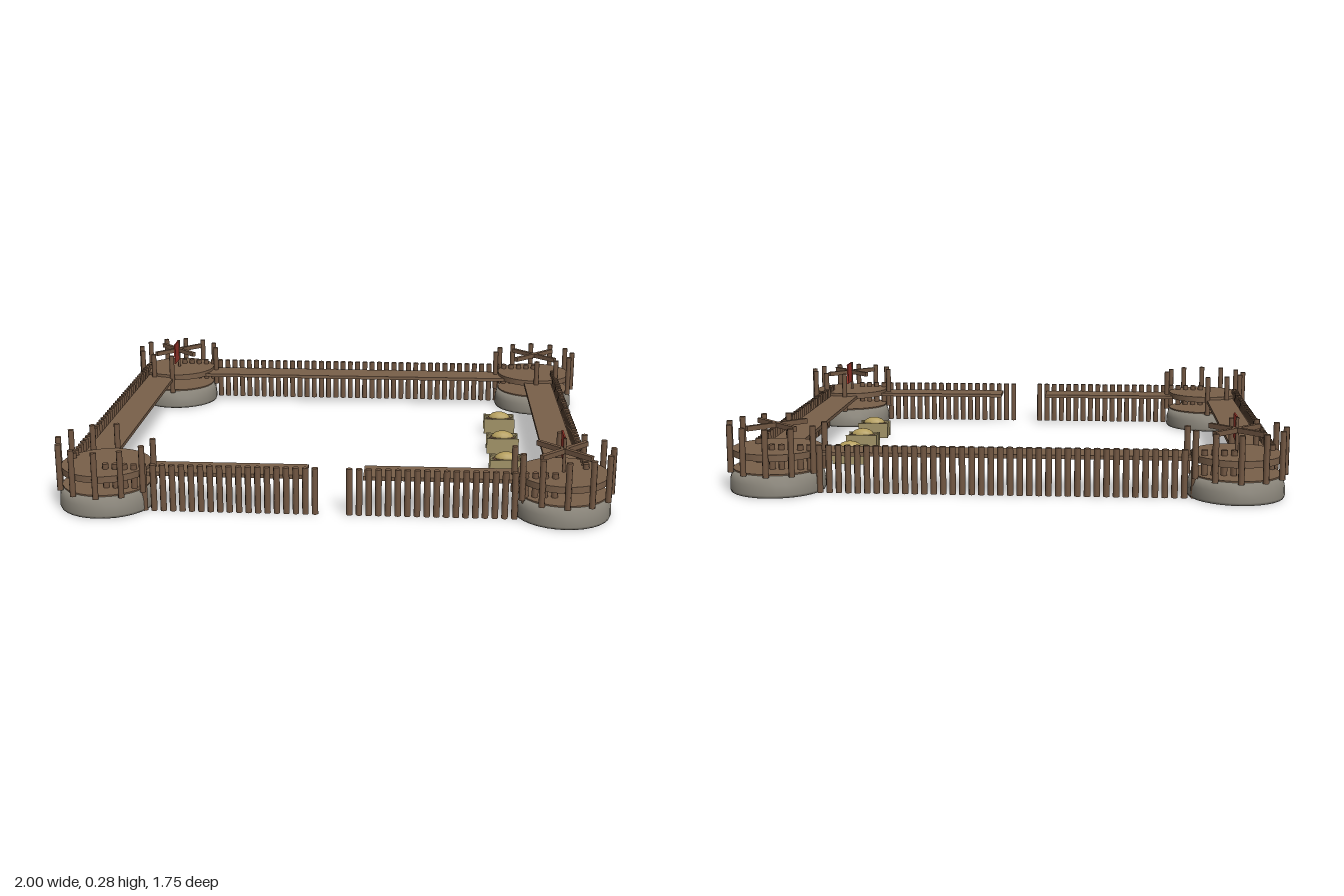
import * as THREE from 'three';

const mat = (name, color) => {
  const m = new THREE.MeshStandardMaterial({ color });
  m.name = name;
  return m;
};

export function createModel() {
  const fort = new THREE.Group();
  fort.name = 'palisadeFort';

  const stone = mat('grey stone', 0x8c877c);
  const plank = mat('plank brown', 0x7a604a);
  const log = mat('log brown', 0x735843);
  const cloth = mat('red cloth', 0xa5382c);
  const crateWood = mat('pale crate wood', 0xa39468);
  const straw = mat('straw', 0xb39d5c);

  const add = (parent, name, geometry, material, x = 0, y = 0, z = 0) => {
    const mesh = new THREE.Mesh(geometry, material);
    mesh.name = name;
    mesh.position.set(x, y, z);
    parent.add(mesh);
    return mesh;
  };
  const box = (w, h, d) => new THREE.BoxGeometry(w, h, d);

  // Corner towers
  const TX = 0.817, TZ = 0.69, RING = 0.172;
  const baseGeo = new THREE.LatheGeometry(
    [[0, 0], [0.168, 0], [0.172, 0.01], [0.17, 0.045], [0.16, 0.078], [0, 0.078]]
      .map(([r, y]) => new THREE.Vector2(r, y)), 32);
  const floorGeo = new THREE.CylinderGeometry(0.158, 0.158, 0.006, 32);
  const deckGeo = new THREE.CylinderGeometry(0.16, 0.16, 0.024, 32);
  const postGeo = new THREE.CylinderGeometry(0.011, 0.011, 0.17, 8);

  const buildTower = (name, sx, sz, braced, flagDir) => {
    const tower = new THREE.Group();
    tower.name = name;
    tower.position.set(sx * TX, 0, sz * TZ);
    add(tower, 'stoneBase', baseGeo, stone);
    add(tower, 'towerFloor', floorGeo, plank, 0, 0.08, 0);
    add(tower, 'towerDeck', deckGeo, plank, 0, 0.141, 0);
    // Ring of posts, open on the two inward diagonals
    for (let i = 0; i < 12; i++) {
      const a = (i * Math.PI) / 6;
      const x = Math.cos(a) * RING, z = Math.sin(a) * RING;
      if (x * sx < -0.05 && z * sz < -0.05) continue;
      add(tower, 'ringPost', postGeo, log, x, 0.16, z);
    }
    // Crossed beams
    if (braced) {
      for (const s of [-1, 1]) {
        add(tower, 'crossBeam', box(0.245, 0.018, 0.016), log, 0, 0.232, 0)
          .rotation.y = (s * Math.PI) / 4;
      }
    }
    // Pole and flag
    if (flagDir) {
      add(tower, 'flagPole', new THREE.CylinderGeometry(0.006, 0.006, 0.126, 8), log, 0, 0.214, 0);
      add(tower, 'flag', box(0.006, 0.088, 0.085), cloth, 0, 0.233, flagDir * 0.055);
    }
    fort.add(tower);
  };
  buildTower('backRightTower', -1, -1, true, 1);
  buildTower('backLeftTower', 1, -1, true, 0);
  buildTower('frontRightTower', -1, 1, false, 0);
  buildTower('frontLeftTower', 1, 1, true, -1);

  // Palisade rows of upright logs
  const logGeo = new THREE.CylinderGeometry(0.0115, 0.0115, 0.172, 8);
  const palisade = (name, x0, z0, x1, z1) => {
    const row = new THREE.Group();
    row.name = name;
    const n = Math.round(Math.hypot(x1 - x0, z1 - z0) / 0.0338);
    for (let i = 0; i <= n; i++) {
      const t = i / n;
      add(row, 'palisadeLog', logGeo, log, x0 + (x1 - x0) * t, 0.086, z0 + (z1 - z0) * t);
    }
    fort.add(row);
  };
  palisade('backPalisade', -0.803, -0.75, 0.822, -0.75);
  palisade('rightPalisade', -0.948, -0.64, -0.948, 0.65);
  palisade('leftPalisade', 0.9, -0.64, 0.9, 0.65);
  palisade('frontRightPalisade', -0.803, 0.76, -0.057, 0.76);
  palisade('frontLeftPalisade', 0.065, 0.76, 0.782, 0.76);

  // Wall walkways
  const walkway = (name, x0, x1, z0, z1) =>
    add(fort, name, box(x1 - x0, 0.014, z1 - z0), plank, (x0 + x1) / 2, 0.134, (z0 + z1) / 2);
  walkway('backWalkway', -0.8, 0.8, -0.727, -0.608);
  walkway('rightWalkway', -0.934, -0.815, -0.66, 0.66);
  walkway('leftWalkway', 0.766, 0.884, -0.66, 0.66);
  walkway('frontRightWalkway', -0.8, -0.09, 0.633, 0.753);
  walkway('frontLeftWalkway', 0.113, 0.8, 0.633, 0.753);

  // Straw-filled crates
  const heap = new THREE.SphereGeometry(1, 12, 8);
  heap.scale(0.046, 0.026, 0.028);
  for (const z of [-0.253, 0.018, 0.289]) {
    const crate = new THREE.Group();
    crate.name = 'crate';
    crate.position.set(0.642, 0, z);
    add(crate, 'crateBottom', box(0.112, 0.008, 0.07), crateWood, 0, 0.008, 0);
    for (const s of [-1, 1]) {
      add(crate, 'crateSide', box(0.128, 0.064, 0.006), crateWood, 0, 0.036, s * 0.037);
      add(crate, 'crateEnd', box(0.006, 0.06, 0.07), crateWood, s * 0.056, 0.034, 0);
    }
    add(crate, 'crateFill', box(0.108, 0.006, 0.068), crateWood, 0, 0.058, 0);
    add(crate, 'strawHeap', heap, straw, 0, 0.064, 0);
    const rim = add(crate, 'strawRim', new THREE.TorusGeometry(0.04, 0.005, 6, 20), log, 0, 0.062, 0);
    rim.rotation.x = Math.PI / 2;
    rim.scale.set(1.15, 0.72, 1);
    fort.add(crate);
  }

  return fort;
}
